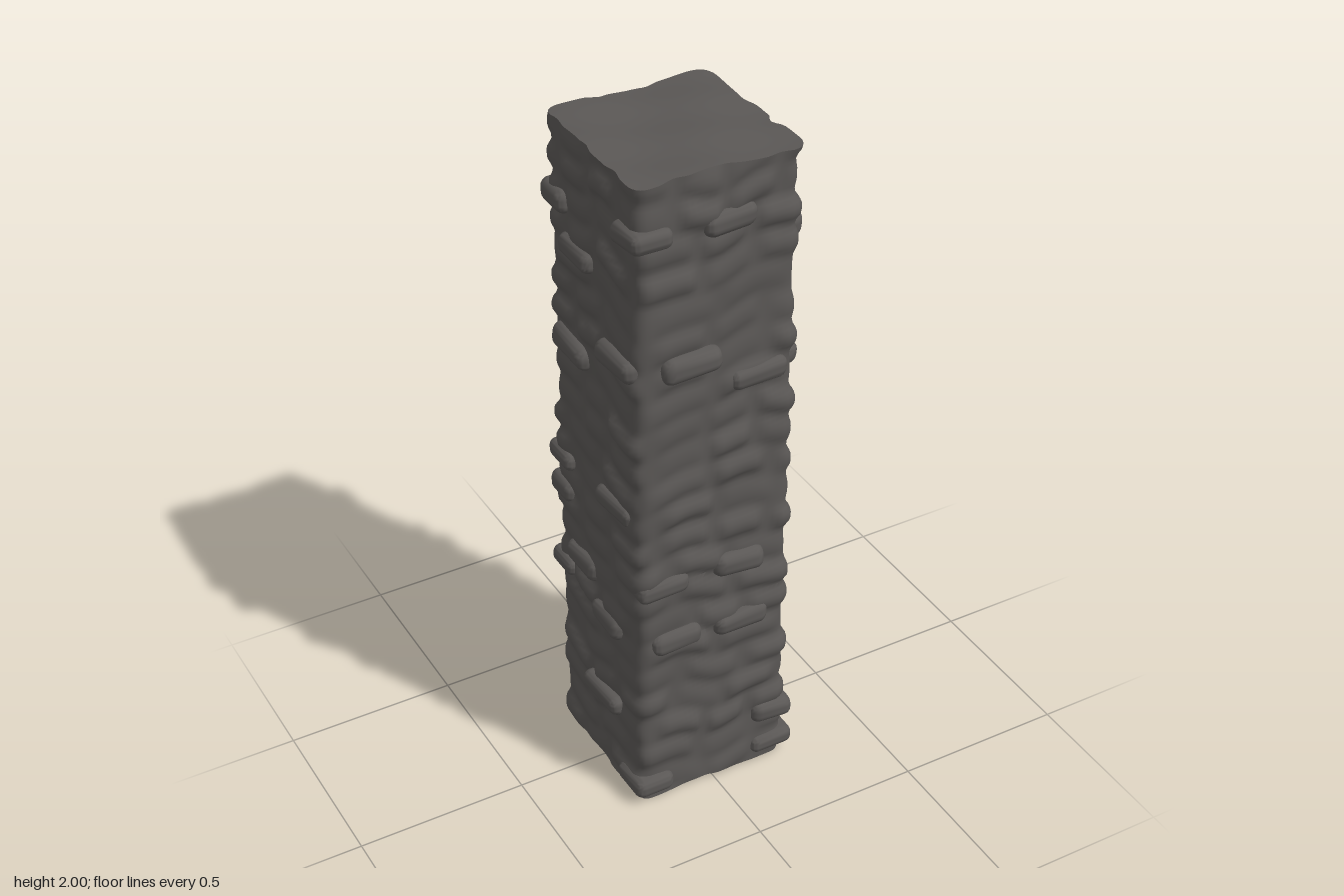
import * as THREE from 'three';
import { mergeVertices, toCreasedNormals } from 'three/addons/utils/BufferGeometryUtils.js';
import { RoundedBoxGeometry } from 'three/addons/geometries/RoundedBoxGeometry.js';

const HALF = 0.234, HEIGHT = 1.986, CORNER = 0.035;

// repeatable value from 0 to 1 for a pair of numbers
function hash(a, b) {
  const s = Math.sin(a * 127.1 + b * 311.7) * 43758.5453;
  return s - Math.floor(s);
}

// soft plateau across one stone, zero at its joints
function plateau(t, edge) {
  return THREE.MathUtils.smoothstep(Math.min(t, 1 - t), 0, edge);
}

// how far the masonry swells at a point around the pillar
function bulge(x, y, z) {
  const a = Math.atan2(z, x) / (Math.PI * 2) + 0.5;
  const v = y / 0.092 + 0.22 * Math.sin(a * Math.PI * 6 + y * 3) + 0.1 * Math.sin(a * Math.PI * 14);
  const row = Math.floor(v), count = 8 + Math.floor(hash(row, 3) * 4);
  const u = (a + hash(row, 9)) * count;
  const size = hash(row, Math.floor(u) % count);
  return 0.019 * (0.2 + 0.8 * size) * plateau(v - row, 0.4) * plateau(u - Math.floor(u), 0.25)
    + 0.002 * Math.sin(y * 23 + a * Math.PI * 6) - 0.002;
}

function weld(geometry) {
  geometry.deleteAttribute('normal');
  geometry.deleteAttribute('uv');
  return mergeVertices(geometry, 1e-4);
}

// square shaft with rounded corners and swelling courses of stone
function shaftGeometry() {
  const g = weld(new THREE.BoxGeometry(HALF * 2, HEIGHT, HALF * 2, 32, 140, 32));
  const p = g.attributes.position, inner = HALF - CORNER;
  for (let i = 0; i < p.count; i++) {
    const x = p.getX(i), z = p.getZ(i);
    const y = p.getY(i) + HEIGHT / 2;
    const cx = THREE.MathUtils.clamp(x, -inner, inner), cz = THREE.MathUtils.clamp(z, -inner, inner);
    const dx = x - cx, dz = z - cz, length = Math.hypot(dx, dz);
    const reach = Math.max(Math.abs(dx), Math.abs(dz));
    const out = length > 0 ? reach * (1 + bulge(x, y, z) / CORNER) / length : 0;
    const end = Math.abs(p.getY(i)) > HEIGHT / 2 - 0.001 ? 1 : 0;
    const wave = end * 0.004 * (Math.sin(x * 17 + z * 9) + 0.5 * Math.sin(z * 31 - x * 12));
    p.setXYZ(i, cx + dx * out, y + 0.007 + wave, cz + dz * out);
  }
  return toCreasedNormals(g, 0.8);
}

// one worn stone, slightly skewed and bowed
function stoneGeometry(w, h, d, seed) {
  const g = weld(new RoundedBoxGeometry(w, h, d, 3, Math.min(h * 0.4, d * 0.4)));
  const p = g.attributes.position;
  const skew = (hash(seed, 1) - 0.5) * 0.12, taper = (hash(seed, 2) - 0.5) * 0.3;
  for (let i = 0; i < p.count; i++) {
    const x = p.getX(i), y = p.getY(i);
    p.setY(i, y * (1 + taper * x / w) + skew * x);
    p.setZ(i, p.getZ(i) + 0.003 * Math.sin(x * 30 + y * 40 + seed));
  }
  return toCreasedNormals(g, 0.9);
}

// raised stones on each side as [across, height], most prominent first
const SIDES = {
  front: [[-0.08, 1.45], [0.07, 0.765], [0.08, 0.56], [0.12, 1.36], [0.03, 1.84], [-0.12, 0.56], [-0.16, 0.755]],
  left: [[-0.14, 1.75], [-0.13, 1.355], [0.17, 1.235], [0.15, 1.365], [-0.03, 0.17], [0.1, 0.87], [0.15, 0.65]],
  back: [[-0.16, 1.74], [0.1, 0.67], [-0.02, 0.36], [-0.01, 1.64], [-0.15, 1.24], [0, 0.86], [-0.12, 0.2]],
  right: [[0.03, 0.27], [0.13, 1.45], [-0.12, 1.355], [-0.08, 1.66], [0.05, 0.55], [-0.09, 0.66], [0.1, 0.97]],
};

// heights of the stones wrapping each corner, in the same turning order
const CORNERS = [[0.06, 0.175], [0.06, 0.37, 0.95, 1.74], [0.59, 0.85, 0.96, 1.77], [0.06, 1.84]];

export function createModel() {
  const model = new THREE.Group();
  model.name = 'stonePillar';
  const stone = new THREE.MeshStandardMaterial({ color: 0x5a5755 });
  stone.name = 'darkStone';

  const shaft = new THREE.Mesh(shaftGeometry(), stone);
  shaft.name = 'shaft';
  model.add(shaft);

  Object.entries(SIDES).forEach(([name, stones], side) => {
    const group = new THREE.Group();
    group.name = name + 'Stones';
    group.rotation.y = side * Math.PI / 2;

    // face stones, reaching less far down the list
    stones.forEach(([x, y], i) => {
      const seed = side * 20 + i;
      const w = 0.15 + 0.035 * hash(seed, 5), h = 0.06 + 0.016 * hash(seed, 6);
      const mesh = new THREE.Mesh(stoneGeometry(w, h, 0.08, seed), stone);
      mesh.name = name + 'Stone';
      mesh.position.set(x, y, 0.225 - 0.0022 * i);
      group.add(mesh);
    });

    // stones wrapping the corner beside this face
    CORNERS[side].forEach((y, i) => {
      const seed = 100 + side * 20 + i;
      const mesh = new THREE.Mesh(stoneGeometry(0.13, 0.055 + 0.02 * hash(seed, 6), 0.12, seed), stone);
      mesh.name = 'cornerStone';
      mesh.position.set(0.191, y, 0.196);
      group.add(mesh);
    });
    model.add(group);
  });
  return model;
}
